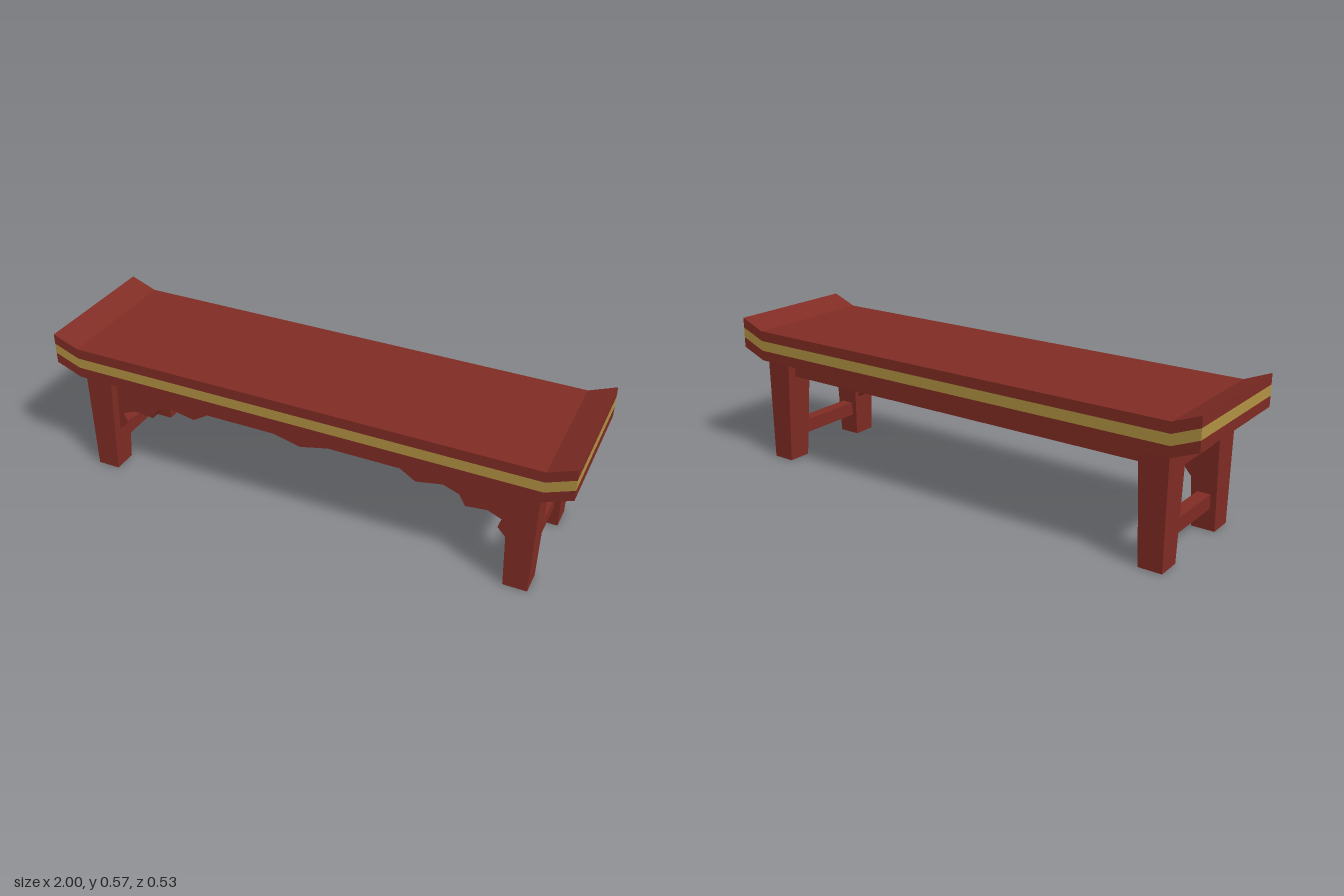
import * as THREE from 'three';

const wood = new THREE.MeshStandardMaterial({ color: 0x802c24 });
wood.name = 'red wood';
const openWood = new THREE.MeshStandardMaterial({ color: 0x802c24, side: THREE.DoubleSide });
openWood.name = 'red wood, hollow legs';
const gold = new THREE.MeshStandardMaterial({ color: 0xb39242 });
gold.name = 'gold band';

// Extrude an outline of [x, y] points between two z positions
function slab(name, points, z0, z1, material) {
  const shape = new THREE.Shape(points.map(([x, y]) => new THREE.Vector2(x, y)));
  const geometry = new THREE.ExtrudeGeometry(shape, { depth: z1 - z0, bevelEnabled: false });
  geometry.translate(0, 0, z0);
  const mesh = new THREE.Mesh(geometry, material);
  mesh.name = name;
  return mesh;
}

function bar(name, size, position) {
  const mesh = new THREE.Mesh(new THREE.BoxGeometry(...size), wood);
  mesh.position.set(...position);
  mesh.name = name;
  return mesh;
}

// One layer of the top, with upturned ends
function topLayer(name, y0, y1, material) {
  const bend = 0.9, rise = 0.04;
  return slab(name, [
    [-1, y0 + rise], [-bend, y0], [bend, y0], [1, y0 + rise],
    [1, y1 + rise], [bend, y1], [-bend, y1], [-1, y1 + rise],
  ], -0.267, 0.267, material);
}

// Tapered leg, open at the foot
function makeLeg(sx, sz) {
  const geometry = new THREE.BoxGeometry(1, 1, 1).toNonIndexed();
  const p = geometry.attributes.position;
  for (let i = 0; i < p.count; i++) {
    const top = p.getY(i) > 0;
    const outerX = p.getX(i) * sx > 0, outerZ = p.getZ(i) * sz > 0;
    const x = outerX ? (top ? 0.89 : 0.887) : (top ? 0.78 : 0.798);
    const z = outerZ ? (top ? 0.246 : 0.244) : (top ? 0.128 : 0.15);
    p.setXYZ(i, sx * x, top ? 0.413 : 0, sz * z);
  }
  // Drop the bottom face (fourth side of the box)
  const open = new THREE.BufferGeometry();
  const kept = [];
  for (let i = 0; i < p.count; i++) {
    if (i < 18 || i >= 24) kept.push(p.getX(i), p.getY(i), p.getZ(i));
  }
  open.setAttribute('position', new THREE.Float32BufferAttribute(kept, 3));
  open.computeVertexNormals();
  const mesh = new THREE.Mesh(open, openWood);
  mesh.name = 'leg';
  return mesh;
}

export function createModel() {
  const bench = new THREE.Group();
  bench.name = 'bench';

  // Layered top
  bench.add(
    topLayer('lowerTop', 0.413, 0.453, wood),
    topLayer('goldBand', 0.453, 0.493, gold),
    topLayer('upperTop', 0.493, 0.533, wood),
  );

  // Legs, with two stretchers at each end
  for (const sx of [-1, 1]) {
    for (const sz of [-1, 1]) bench.add(makeLeg(sx, sz));
    bench.add(bar('upperStretcher', [0.05, 0.09, 0.29], [sx * 0.84, 0.369, 0]));
    bench.add(bar('lowerStretcher', [0.05, 0.055, 0.31], [sx * 0.84, 0.112, 0]));
  }

  // Scalloped front apron, mirrored about the middle
  const half = [
    [0.11, 0.348], [0.385, 0.348], [0.445, 0.31], [0.545, 0.33], [0.605, 0.308],
    [0.63, 0.265], [0.71, 0.274], [0.765, 0.25], [0.75, 0.215], [0.79, 0.17],
    [0.81, 0.17], [0.81, 0.413],
  ];
  const mirrored = half.map(([x, y]) => [-x, y]).reverse();
  bench.add(slab('frontApron', [...mirrored, [0, 0.322], ...half], 0.16, 0.21, wood));

  // Plain back rail
  bench.add(bar('backRail', [1.62, 0.06, 0.05], [0, 0.383, -0.185]));

  return bench;
}
